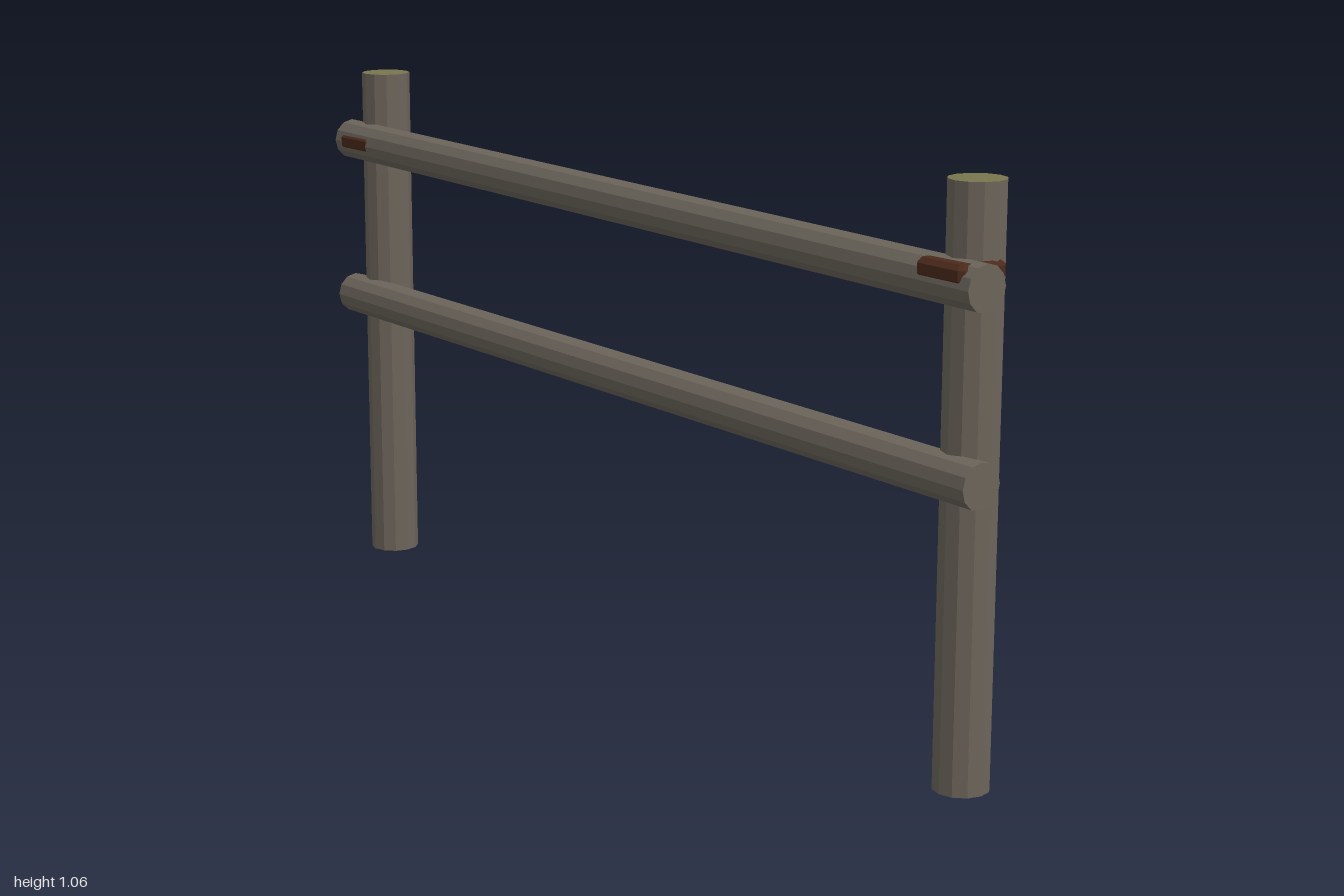
import * as THREE from 'three';

const mat = (name, color) => {
  const m = new THREE.MeshStandardMaterial({ color, flatShading: true });
  m.name = name;
  return m;
};

export function createModel() {
  const group = new THREE.Group();
  group.name = 'fence';
  const bark = mat('greyBrownWood', 0x6b645a);
  const cut = mat('oliveCutWood', 0x77764e);
  const lash = mat('darkBrownBinding', 0x4c2a1b);

  const add = (name, geometry, material, x, y, z) => {
    const mesh = new THREE.Mesh(geometry, material);
    mesh.name = name;
    mesh.position.set(x, y, z);
    group.add(mesh);
    return mesh;
  };

  // Upright posts with paler cut ends
  const postHeight = 1.06;
  const postGeo = new THREE.CylinderGeometry(0.051, 0.051, postHeight, 12);

  // Binding block: rounded outline in plan, bevelled above and below
  const w = 0.049, front = 0.06, back = -0.039, c = 0.012;
  const outline = new THREE.Shape([
    [-w + c, back], [w - c, back], [w, back + c], [w, front - c / 3],
    [w - c / 3, front], [-w + c / 3, front], [-w, front - c / 3], [-w, back + c],
  ].map(([x, z]) => new THREE.Vector2(x, -z)));
  const bindGeo = new THREE.ExtrudeGeometry(outline, {
    depth: 0.018, bevelEnabled: true, bevelThickness: 0.009, bevelSize: 0.008, bevelSegments: 1,
  });
  bindGeo.rotateX(-Math.PI / 2);

  for (const [side, x] of [['left', 0.925], ['right', -0.925]]) {
    add(side + 'Post', postGeo, [bark, cut, cut], x, postHeight / 2, -0.017);
    add(side + 'Binding', bindGeo, lash, x, 0.903, 0);
  }

  // Slightly sloping rails, from the right end to the left end
  const rail = (name, yRight, yLeft, z) => {
    const dy = yLeft - yRight;
    const geo = new THREE.CylinderGeometry(0.042, 0.042, Math.hypot(1.999, dy), 12);
    const mesh = add(name, geo, bark, 0, (yRight + yLeft) / 2, z);
    mesh.rotation.z = Math.atan2(dy, 2) - Math.PI / 2;
  };
  rail('upperRail', 0.912, 0.891, 0.026);
  rail('lowerRail', 0.571, 0.559, 0.026);

  return group;
}
